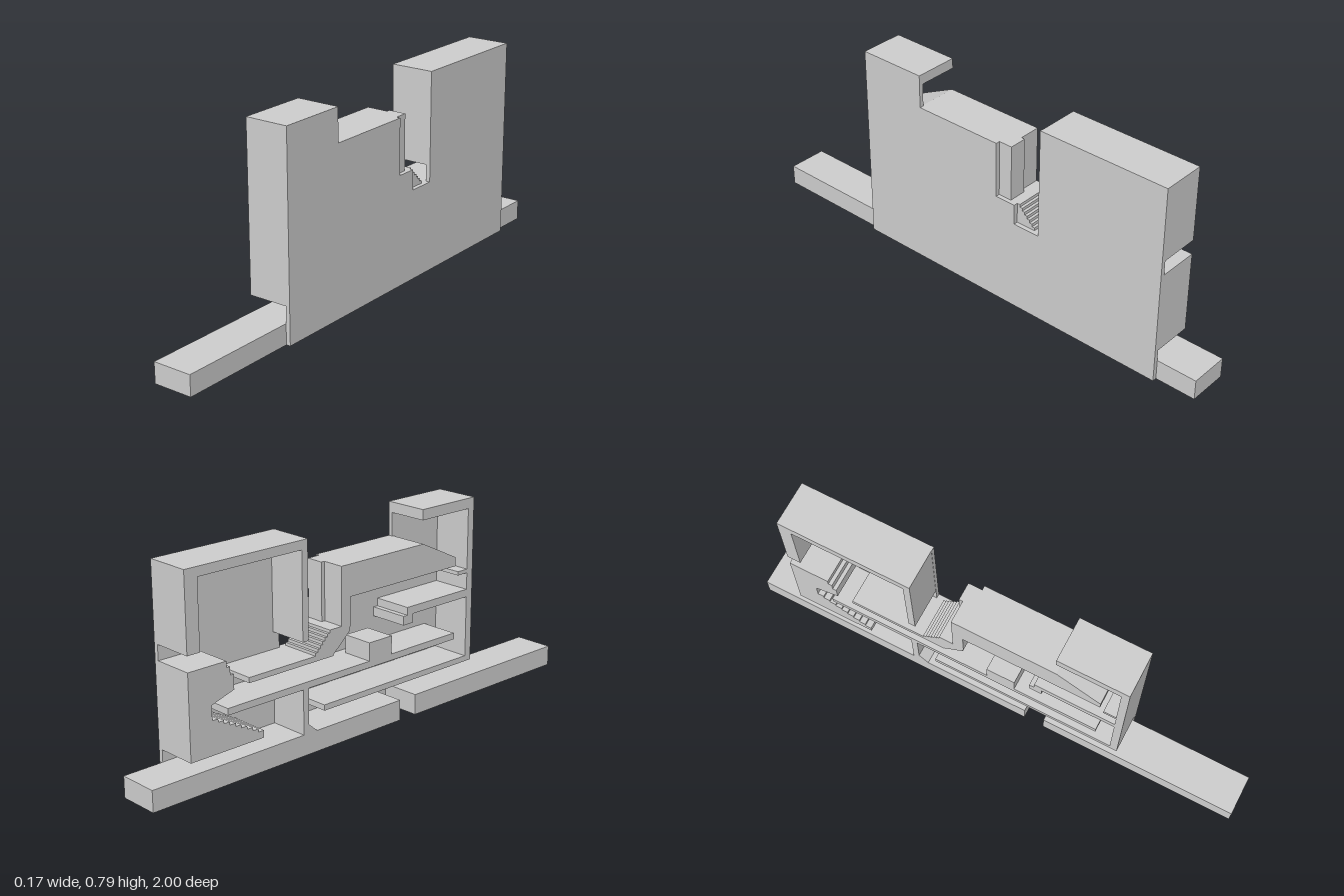
import * as THREE from 'three';

const OPEN = -0.087, PLATE = 0.07, BACK = 0.087;
const material = new THREE.MeshStandardMaterial({ color: 0xcccccc, flatShading: true });

// Extrudes a [z, y] section across the width, from x0 to x1.
function section(name, points, x0 = OPEN, x1 = PLATE) {
  const shape = new THREE.Shape(points.map(([z, y]) => new THREE.Vector2(z, y)));
  const geometry = new THREE.ExtrudeGeometry(shape, { depth: x1 - x0, bevelEnabled: false });
  geometry.rotateY(-Math.PI / 2).translate(x1, 0, 0);
  const mesh = new THREE.Mesh(geometry, material);
  mesh.name = name;
  return mesh;
}

// Rectangular piece given by its z and y ranges.
function block(name, z0, z1, y0, y1, x0, x1) {
  return section(name, [[z0, y0], [z1, y0], [z1, y1], [z0, y1]], x0, x1);
}

// Corner points of a flight of steps from one [z, y] to another.
function steps([z0, y0], [z1, y1], count) {
  const points = [[z0, y0]];
  for (let i = 1; i <= count; i++) {
    const z = z0 + (z1 - z0) * i / count;
    const y = y0 + (y1 - y0) * i / count;
    points.push([z0 + (z1 - z0) * (i - 1) / count, y], [z, y]);
  }
  return points;
}

export function createModel() {
  const model = new THREE.Group();
  model.name = 'sectionedBuilding';

  // Solid back plate with the roof steps and the notch
  model.add(section('backPlate', [
    [-0.84, 0], [0.52, 0], [0.52, 0.79], [0.245, 0.79], [0.245, 0.66], [-0.12, 0.66],
    [-0.12, 0.44], [-0.205, 0.44], [-0.205, 0.36], [-0.315, 0.36], [-0.315, 0.79], [-0.84, 0.79],
  ], PLATE, BACK));

  // Ground strips with a narrow trench between them
  model.add(block('groundBack', -1, 0.137, 0, 0.08));
  model.add(block('groundFront', 0.217, 1, 0, 0.08));

  // Back tower: roof and two walls
  model.add(section('backTower', [
    [-0.84, 0.5], [-0.787, 0.5], [-0.787, 0.755], [-0.343, 0.755], [-0.343, 0.425],
    [-0.316, 0.425], [-0.316, 0.79], [-0.84, 0.79],
  ]));

  // Lower entrance block with stepped recess and a flight down to the ground
  model.add(section('entranceBlock', [
    [-0.84, 0.125], [-0.525, 0.125], ...steps([-0.525, 0.14], [-0.746, 0.25], 9),
    [-0.746, 0.305], [-0.65, 0.335], ...steps([-0.65, 0.36], [-0.68, 0.42], 2),
    [-0.68, 0.443], [-0.84, 0.443],
  ]));

  // Floors
  model.add(block('middleFloor', -0.68, 0.425, 0.25, 0.275));
  model.add(block('upperBackFloor', -0.585, -0.2, 0.34, 0.36));
  model.add(block('lowerFloor', -0.245, 0.52, 0.145, 0.167));
  model.add(block('upperFrontFloor', 0.17, 0.5, 0.405, 0.435));
  model.add(block('floorStep', 0.15, 0.2, 0.37, 0.405));

  // Stair rising through the notch to its landing
  model.add(section('notchStair', [
    [-0.205, 0.34], [-0.12, 0.415], [-0.12, 0.44],
    ...steps([-0.285, 0.36], [-0.205, 0.44], 7).reverse(), [-0.285, 0.34],
  ]));

  // Central wall joined to the deep roof
  model.add(section('centralRoof', [
    [-0.16, 0.43], [-0.117, 0.43], [-0.117, 0.54], [0.425, 0.54],
    [0.425, 0.57], [0.257, 0.66], [-0.16, 0.66],
  ].map(([z, y]) => (z === 0.257 ? [0.25, y] : z === 0.425 && y === 0.57 ? [0.425, 0.575] : [z, y]))));
  model.add(block('wallRib', -0.175, -0.155, 0.44, 0.66, 0, PLATE));

  // Box standing on the middle floor
  model.add(block('floorBox', -0.0235, 0.09, 0.27, 0.345, OPEN, 0.038));

  // Partition and low kerb in the basement
  model.add(block('basementPartition', -0.343, -0.318, 0.08, 0.255));
  model.add(section('basementKerb', [[-0.32, 0.08], [-0.28, 0.08], [-0.32, 0.115]]));

  // Front tower: roof and outer wall, with a ledge on the wall
  model.add(section('frontTower', [
    [0.49, 0.165], [0.52, 0.165], [0.52, 0.79], [0.245, 0.79], [0.245, 0.75], [0.49, 0.75],
  ]));
  model.add(block('wallLedge', 0.44, 0.495, 0.5, 0.515));

  return model;
}
